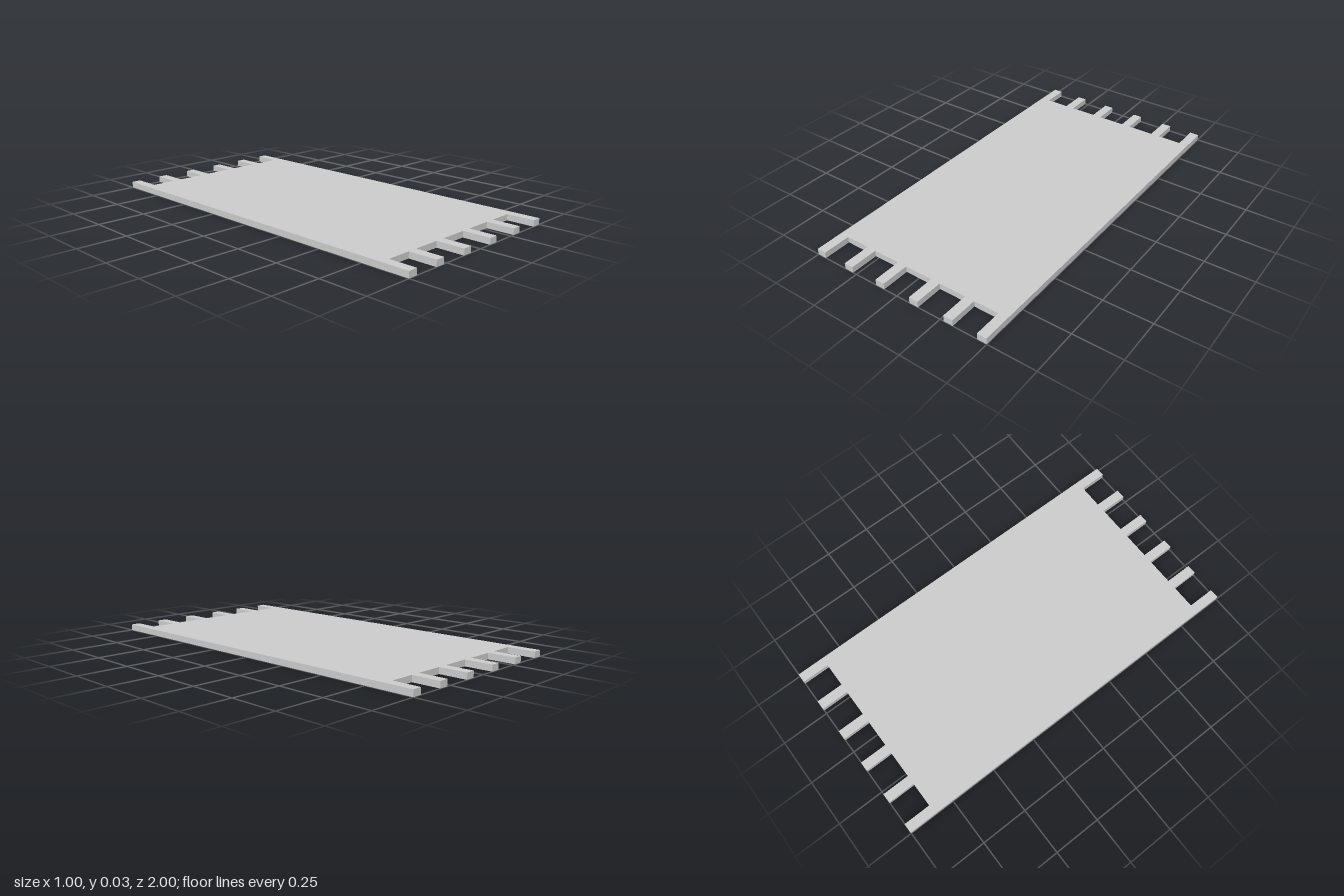
import * as THREE from 'three';

const HALF_WIDTH = 0.5, HALF_LENGTH = 1, BODY_END = 0.855;
const THICKNESS = 0.032, TASSEL_WIDTH = 0.05;
const TASSEL_CENTRES = [-0.475, -0.295, -0.1, 0.1, 0.295, 0.475];

export function createModel() {
  const group = new THREE.Group();
  group.name = 'fringedRug';

  // One end of the outline, left to right: each tassel steps out from the body
  const fringe = TASSEL_CENTRES.flatMap((x) => {
    const a = x - TASSEL_WIDTH / 2, b = x + TASSEL_WIDTH / 2;
    return [[a, BODY_END], [a, HALF_LENGTH], [b, HALF_LENGTH], [b, BODY_END]];
  }).filter(([x, y]) => y === HALF_LENGTH || Math.abs(x) < HALF_WIDTH - 1e-6);

  // Full outline: the far fringe, then the same fringe turned half round
  const outline = [...fringe, ...fringe.map(([x, y]) => [-x, -y])]
    .map(([x, y]) => new THREE.Vector2(x, y));

  // Flat slab with fringes, laid on the ground
  const geometry = new THREE.ExtrudeGeometry(new THREE.Shape(outline), {
    depth: THICKNESS, bevelEnabled: false,
  });
  geometry.rotateX(-Math.PI / 2);

  const rug = new THREE.Mesh(geometry, new THREE.MeshStandardMaterial({ color: 0xcccccc }));
  rug.name = 'rugWithTassels';
  group.add(rug);
  return group;
}
